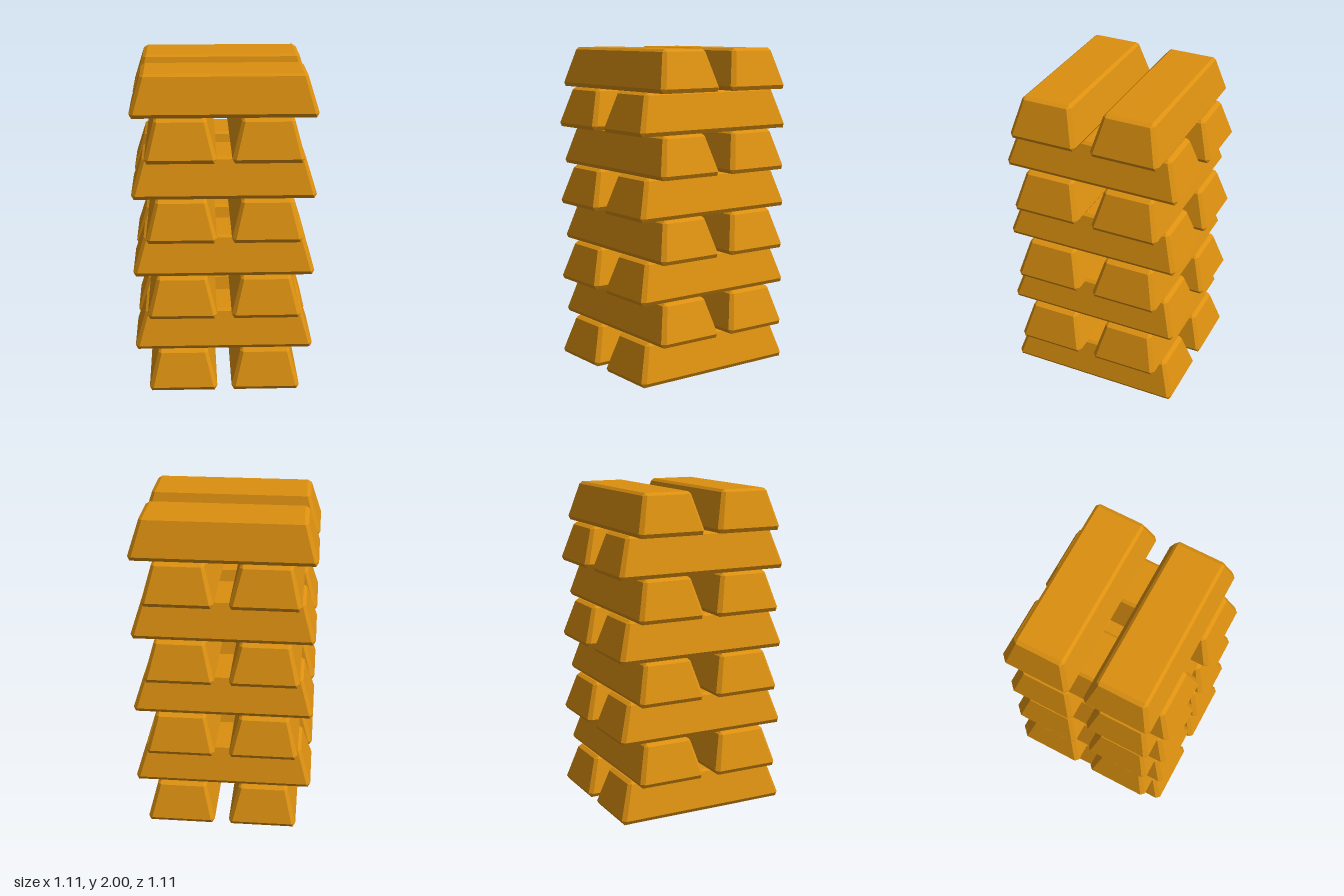
import * as THREE from 'three';
import { ConvexGeometry } from 'three/addons/geometries/ConvexGeometry.js';

const LAYERS = 8;
const LAYER_HEIGHT = 0.25;
const BAR_OFFSET = 0.2575;

// Level rings of one ingot: height, half length, half width, corner chamfer
const RINGS = [
  [0, 0.54, 0.197, 0],
  [0.025, 0.555, 0.2125, 0.024],
  [0.235, 0.49, 0.156, 0.02],
  [0.25, 0.465, 0.138, 0],
];

// Tapered bar with bevelled edges, lying along x
function ingotGeometry() {
  const points = [];
  for (const [y, halfLength, halfWidth, chamfer] of RINGS) {
    for (const sx of [-1, 1]) {
      for (const sz of [-1, 1]) {
        points.push(new THREE.Vector3(sx * halfLength, y, sz * (halfWidth - chamfer)));
        if (chamfer > 0) {
          points.push(new THREE.Vector3(sx * (halfLength - chamfer), y, sz * halfWidth));
        }
      }
    }
  }
  return new ConvexGeometry(points);
}

export function createModel() {
  const model = new THREE.Group();
  model.name = 'ingotStack';

  const gold = new THREE.MeshStandardMaterial({ color: 0xdc9010 });
  gold.name = 'gold';
  const geometry = ingotGeometry();

  // Pairs of bars, each layer turned a quarter from the one below
  for (let i = 0; i < LAYERS; i++) {
    const layer = new THREE.Group();
    layer.name = `layer${i + 1}`;
    layer.position.y = i * LAYER_HEIGHT;
    if (i % 2 === 0) layer.rotation.y = Math.PI / 2;
    for (const side of [-1, 1]) {
      const bar = new THREE.Mesh(geometry, gold);
      bar.name = side < 0 ? 'ingotA' : 'ingotB';
      bar.position.z = side * BAR_OFFSET;
      layer.add(bar);
    }
    model.add(layer);
  }
  return model;
}
